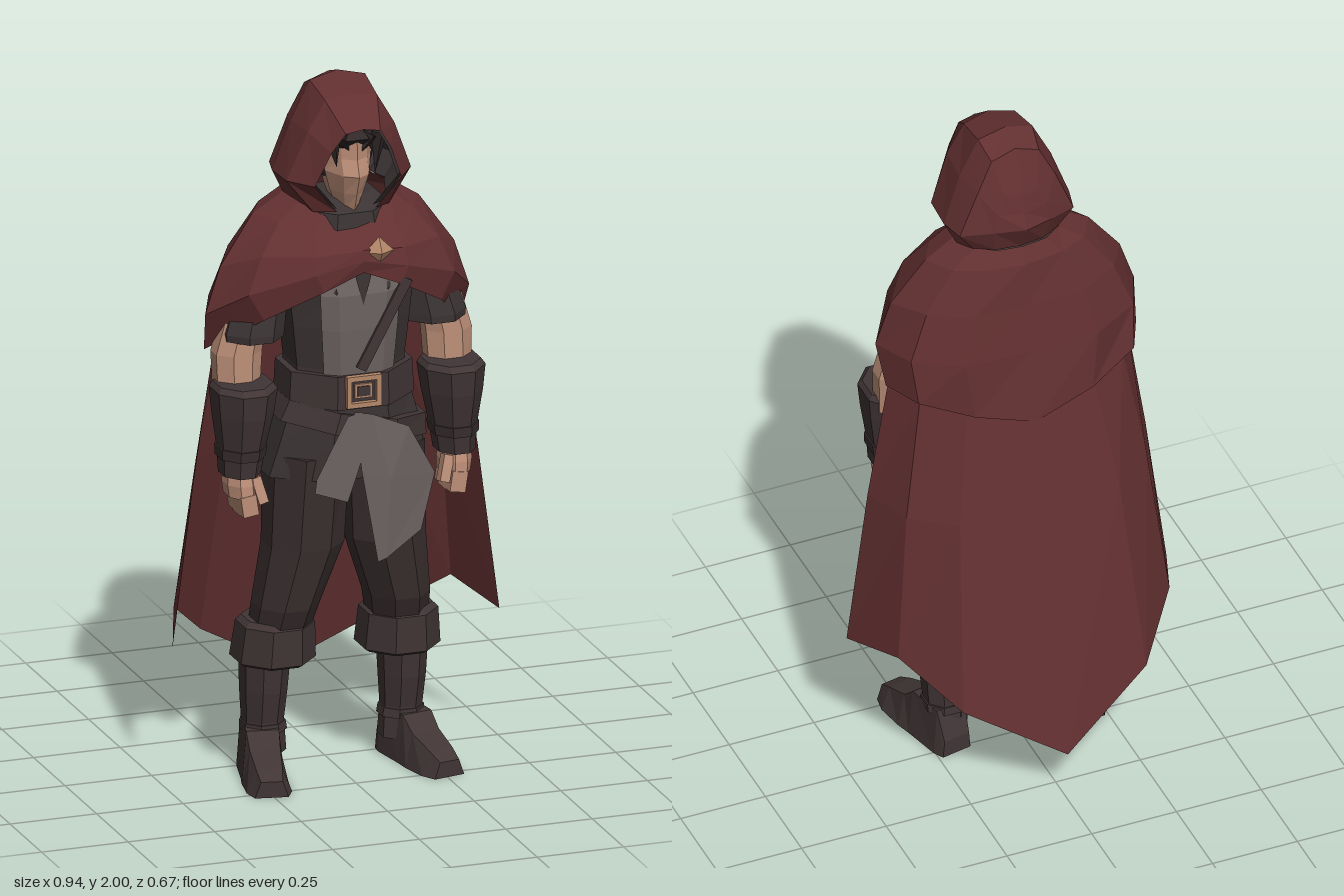
import * as THREE from 'three';

const mat = (name, color) => {
  const m = new THREE.MeshStandardMaterial({ color, flatShading: true, side: THREE.DoubleSide });
  m.name = name;
  return m;
};

// Flat-faced skin over rows of points
function grid(rows, closed = false, caps = false) {
  const out = [];
  const n = rows[0].length;
  const tri = (a, b, c) => out.push(...a, ...b, ...c);
  for (let i = 0; i < rows.length - 1; i++) {
    for (let j = 0; j < (closed ? n : n - 1); j++) {
      const k = (j + 1) % n;
      tri(rows[i][j], rows[i][k], rows[i + 1][k]);
      tri(rows[i][j], rows[i + 1][k], rows[i + 1][j]);
    }
  }
  if (caps) {
    const lo = rows[0], hi = rows[rows.length - 1];
    for (let j = 1; j < n - 1; j++) {
      tri(lo[0], lo[j + 1], lo[j]);
      tri(hi[0], hi[j], hi[j + 1]);
    }
  }
  const g = new THREE.BufferGeometry();
  g.setAttribute('position', new THREE.Float32BufferAttribute(out, 3));
  g.computeVertexNormals();
  return g;
}

// Stacked eight-sided rings, bottom to top: [y, centreX, centreZ, halfWidth, halfDepth]
function loft(rows, side = 1) {
  const k = 1 / Math.cos(Math.PI / 8);
  return grid(rows.map(([y, cx, cz, rx, rz]) => Array.from({ length: 8 }, (_, j) => {
    const t = ((j + 0.5) / 8) * Math.PI * 2;
    return [cx * side + Math.sin(t) * rx * k, y, cz + Math.cos(t) * rz * k];
  })), true, true);
}

const flip = ([x, y, z]) => [-x, y, z];
const shapeOf = pts => new THREE.Shape(pts.map(p => new THREE.Vector2(...p)));

export function createModel() {
  const root = new THREE.Group();
  root.name = 'hoodedTraveller';
  const red = mat('redCloth', 0x633031), leather = mat('darkLeather', 0x413536);
  const tunic = mat('darkTunic', 0x3c3434), trouser = mat('trousers', 0x3b3030);
  const grey = mat('greyLinen', 0x6c6361), skin = mat('skin', 0xbd8f78);
  const hair = mat('hair', 0x302728), brass = mat('brass', 0xb48769);
  const add = (name, geo, m, pos = [0, 0, 0], rot = [0, 0, 0]) => {
    const mesh = new THREE.Mesh(geo, m);
    mesh.name = name;
    mesh.position.set(...pos);
    mesh.rotation.set(...rot);
    root.add(mesh);
    return mesh;
  };

  // Hood: half arches from the opening to the back, top to bottom
  const arches = [
    [[0, 1.895, .31], [.05, 1.885, .305], [.085, 1.83, .29], [.125, 1.73, .265], [.055, 1.645, .25]],
    [[0, 1.97, .22], [.075, 1.955, .21], [.125, 1.87, .21], [.18, 1.73, .19], [.11, 1.64, .21]],
    [[0, 2, .10], [.08, 1.98, .10], [.135, 1.87, .10], [.185, 1.73, .09], [.15, 1.66, .08]],
    [[0, 1.975, .03], [.07, 1.95, .03], [.115, 1.86, .02], [.168, 1.73, .02], [.125, 1.67, .03]],
    [[0, 1.86, -.02], [.045, 1.85, -.015], [.07, 1.8, -.02], [.085, 1.745, -.022], [.07, 1.67, 0]],
    [[0, 1.86, -.02], [0, 1.84, -.025], [0, 1.8, -.035], [0, 1.755, -.055], [0, 1.67, -.01]],
  ];
  const hood = grid(arches.map(a => [...a.slice(1).reverse().map(flip), ...a]));
  add('hood', hood, red);
  const lining = hood.clone().translate(0, -1.78, -.13).scale(.95, .95, .95).translate(0, 1.78, .125);
  add('hoodLining', lining, tunic);

  // Head with a ridged face
  add('head', loft([[1.64, 0, .15, .03, .05], [1.69, 0, .15, .048, .065], [1.76, 0, .15, .064, .07],
    [1.84, 0, .15, .066, .07]]), skin);
  const faceRow = (y, w, z) => [[-w, y, .18], [-w * .55, y, z - .025], [0, y, z], [w * .55, y, z - .025], [w, y, .18]];
  add('face', grid([faceRow(1.64, .034, .238), faceRow(1.69, .052, .256), faceRow(1.745, .066, .277),
    faceRow(1.79, .068, .26), faceRow(1.85, .068, .258)]), skin);
  add('hair', loft([[1.72, 0, .1, .078, .08], [1.82, 0, .145, .082, .09], [1.85, 0, .162, .076, .104],
    [1.89, 0, .15, .04, .06]]), hair);
  for (const [x, len, tilt] of [[-.06, .09, -.12], [-.03, .05, -.5], [.03, .06, .5], [.062, .12, .1]])
    add('hairLock', new THREE.ConeGeometry(.024, len, 4), hair, [x, 1.862 - len / 2, .245], [Math.PI, 0, tilt]);
  add('neckScarf', loft([[1.57, 0, .13, .14, .125], [1.635, 0, .135, .12, .11], [1.665, 0, .12, .09, .07]]), tunic);

  // Shoulder cape: columns from front to back, each from neck to edge
  const columns = [
    [[0, 1.6, .24], [0, 1.58, .28], [0, 1.55, .315], [0, 1.52, .32], [0, 1.485, .312]],
    [[.08, 1.63, .22], [.11, 1.59, .25], [.12, 1.54, .3], [.13, 1.49, .312], [.11, 1.44, .312]],
    [[.13, 1.66, .17], [.19, 1.61, .18], [.25, 1.53, .22], [.29, 1.43, .235], [.25, 1.355, .24]],
    [[.15, 1.67, .1], [.235, 1.615, .1], [.33, 1.48, .12], [.372, 1.35, .125], [.36, 1.235, .08]],
    [[.12, 1.67, .03], [.19, 1.62, .02], [.27, 1.5, .01], [.32, 1.36, 0], [.31, 1.235, -.03]],
    [[.07, 1.675, -.01], [.11, 1.63, -.03], [.16, 1.5, -.055], [.19, 1.36, -.078], [.17, 1.19, -.092]],
    [[0, 1.675, -.02], [0, 1.63, -.045], [0, 1.5, -.06], [0, 1.36, -.082], [0, 1.14, -.114]],
  ];
  const around = [...columns, ...columns.slice(1, 6).reverse().map(c => c.map(([x, y, z]) => [-x * 1.05, y, z]))];
  add('shoulderCape', grid([4, 3, 2, 1, 0].map(i => around.map(c => c[i])), true), red);
  add('claspPin', new THREE.OctahedronGeometry(.042), brass, [.045, 1.54, .308]).scale.z = .6;

  // Long cape: half rows from hem to shoulder, front edge to centre back
  const capeRows = [
    [[.472, .395, .09], [.4, .44, -.1], [.27, .315, -.245], [0, .155, -.335]],
    [[.41, .87, .09], [.355, .87, -.05], [.235, .87, -.14], [0, .87, -.172]],
    [[.355, 1.22, .085], [.3, 1.22, -.012], [.185, 1.22, -.072], [0, 1.22, -.094]],
    [[.27, 1.5, .1], [.21, 1.5, .03], [.12, 1.5, -.02], [0, 1.5, -.03]],
  ];
  add('longCape', grid(capeRows.map(r => [...r, ...r.slice(0, 3).reverse().map(flip)])), red);

  // Torso with shirt front and strap
  add('tunicBody', loft([[1.08, 0, .15, .165, .135], [1.2, 0, .15, .155, .138], [1.32, 0, .15, .168, .15],
    [1.43, 0, .15, .18, .152], [1.56, 0, .13, .17, .11], [1.62, 0, .13, .11, .08]]), tunic);
  const shirtRow = (y, w, z) => [[-w, y, z - .025], [-w * .6, y, z], [w * .6, y, z], [w, y, z - .025]];
  add('shirtFront', grid([shirtRow(1.18, .1, .294), shirtRow(1.32, .11, .304), shirtRow(1.42, .115, .306),
    shirtRow(1.5, .1, .285)]), grey);
  add('shirtOpening', new THREE.ShapeGeometry(shapeOf([[-.03, 1.5], [0, 1.39], [.03, 1.5]])), tunic, [0, 0, .308]);
  add('chestStrap', new THREE.BoxGeometry(.03, .28, .009), leather, [.06, 1.33, .308], [0, 0, -.5]);

  // Belt, buckle, hip sash and skirt
  add('belt', loft([[1.095, 0, .15, .18, .158], [1.19, 0, .175 - .025, .175, .155]]), leather);
  const frame = shapeOf([[-.05, -.045], [.05, -.045], [.05, .045], [-.05, .045]]);
  frame.holes.push(new THREE.Path([[-.036, -.031], [-.036, .031], [.036, .031], [.036, -.031]]
    .map(p => new THREE.Vector2(...p))));
  add('buckle', new THREE.ExtrudeGeometry(frame, { depth: .018, bevelEnabled: false }), brass, [-.002, 1.147, .305]);
  add('bucklePlate', new THREE.BoxGeometry(.05, .04, .008), brass, [-.002, 1.147, .311]);
  add('buckleInset', new THREE.BoxGeometry(.036, .028, .008), leather, [-.002, 1.147, .314]);
  add('tunicSkirt', loft([[.89, -.01, .14, .225, .155], [.99, 0, .145, .205, .16], [1.1, 0, .15, .172, .152]]), tunic);
  add('hipSash', loft([[-.03, 0, .15, .215, .164], [.03, 0, .15, .2, .161]]), leather, [.01, 1.04, 0], [0, 0, -.2]);

  // Grey cloth tails below the belt; the long one folds along its middle
  const rightTail = shapeOf([[-.05, 1.08], [-.14, .91], [-.145, .87], [-.05, .835], [-.01, .95], [-.01, 1.09]]);
  add('rightTail', new THREE.ShapeGeometry(rightTail), grey, [0, 0, .322]);
  add('leftTail', grid([
    [[.035, .655, .328], [.06, .665, .33], [.17, .725, .3]],
    [[-.01, .92, .322], [.07, .89, .333], [.215, .88, .285]],
    [[-.03, 1.09, .318], [.02, 1.08, .322], [.13, 1.03, .312]],
  ]), grey);

  // Foot cross-sections from heel to toe: [z, half sole, half top, height]
  const footRows = [[-.155, .045, .04, .05], [-.125, .055, .045, .14], [-.01, .06, .045, .135],
    [.035, .064, .042, .095], [.115, .062, .036, .066], [.16, .046, .03, .045]];
  const footGeo = grid(footRows.map(([z, b, t, h]) => [[-b, 0, z], [b, 0, z], [t, h, z], [-t, h, z]]), true, true);

  for (const s of [1, -1]) {
    const side = s > 0 ? 'left' : 'right';
    const limb = (name, rows, m) => add(side + name, loft(rows, s), m);

    // Leg and boot
    limb('Leg', [[.38, .175, .09, .075, .08], [.5, .16, .125, .085, .095], [.68, .118, .148, .105, .105],
      [.95, .108, .15, .108, .128]], trouser);
    limb('BootCuff', [[.325, .18, .08, .095, .1], [.335, .18, .08, .108, .115], [.44, .178, .095, .1, .105],
      [.455, .178, .095, .085, .09]], leather);
    limb('BootShaft', [[.06, .195, .055, .055, .06], [.15, .2, .055, .054, .056], [.24, .2, .062, .06, .068],
      [.36, .198, .068, .066, .076]], leather);
    limb('AnkleBand', [[.12, .198, .055, .06, .062], [.145, .2, .055, .058, .06]], leather);
    add(side + 'Foot', footGeo, leather, [s * .225, 0, .13], [0, s * .2, 0]);

    // Arm
    limb('Sleeve', [[1.28, .262, .135, .082, .085], [1.3, .262, .135, .084, .086], [1.42, .235, .125, .074, .075],
      [1.55, .18, .11, .06, .06]], tunic);
    limb('UpperArm', [[1.12, .305, .135, .06, .056], [1.24, .303, .13, .066, .058], [1.34, .28, .13, .06, .056]], skin);
    limb('Bracer', [[.905, .31, .175, .052, .066], [.98, .306, .175, .06, .074], [1.08, .302, .178, .077, .092],
      [1.15, .3, .178, .085, .1], [1.165, .3, .175, .075, .085]], leather);
    limb('BracerStrap', [[.955, .308, .175, .062, .075], [.985, .306, .175, .065, .079]], trouser);
    limb('Palm', [[.845, .308, .175, .04, .062], [.88, .31, .175, .043, .06], [.92, .311, .175, .038, .05]], skin);
    for (let i = 0; i < 4; i++)
      add(side + 'Finger', new THREE.BoxGeometry(.045, .07 - Math.abs(i - 1.5) * .008, .031), skin,
        [s * .302, .825, .13 + i * .031], [0, 0, -s * .15]);
    add(side + 'Thumb', new THREE.BoxGeometry(.028, .075, .034), skin, [s * .27, .862, .215], [-.2, 0, -s * .25]);
  }
  return root;
}
